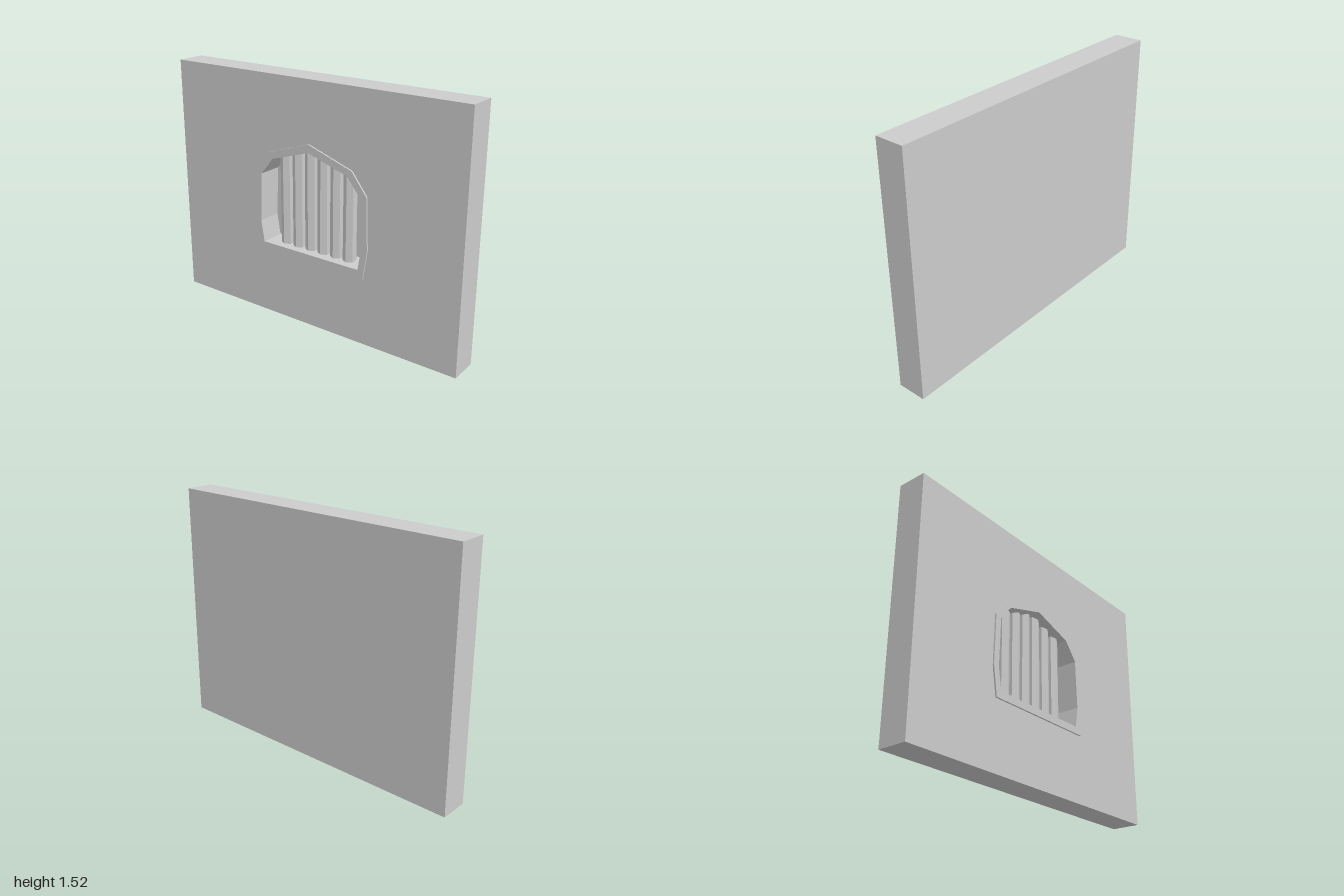
import * as THREE from 'three';

const HEIGHT = 1.52, BACK = -0.095, POCKET = -0.07, FACE = 0.085, FRONT = 0.095;

// Right half of each window outline, from the peak down to the sill
const OUTER = [[0, 1.15], [0.3, 1.05], [0.4, 0.92], [0.412, 0.6], [0.385, 0.42]];
const INNER = [[0, 1.1], [0.27, 1.015], [0.36, 0.905], [0.372, 0.6], [0.35, 0.465]];

const mirrored = (half) => [
  ...half,
  ...half.slice(1).reverse().map(([x, y]) => [-x, y]),
].map(([x, y]) => new THREE.Vector2(x, y));

export function createModel() {
  const group = new THREE.Group();
  const material = new THREE.MeshStandardMaterial({ color: 0xcccccc, flatShading: true });

  const add = (name, geometry, x = 0, y = 0, z = 0) => {
    const mesh = new THREE.Mesh(geometry, material);
    mesh.name = name;
    mesh.position.set(x, y, z);
    group.add(mesh);
  };

  // Slab with the window opening cut out, between two depths
  const addPierced = (name, outline, z0, z1) => {
    const shape = new THREE.Shape(outline);
    shape.holes.push(new THREE.Path(mirrored(INNER)));
    add(name, new THREE.ExtrudeGeometry(shape, { depth: z1 - z0, bevelEnabled: false }), 0, 0, z0);
  };

  // Wall with a blind recess closed by a thin back panel
  const wall = [[-1, 0], [1, 0], [1, HEIGHT], [-1, HEIGHT]].map(([x, y]) => new THREE.Vector2(x, y));
  addPierced('wall', wall, POCKET, FACE);
  add('backPanel', new THREE.BoxGeometry(2, HEIGHT, POCKET - BACK), 0, HEIGHT / 2, (POCKET + BACK) / 2);

  // Raised window surround
  addPierced('windowFrame', mirrored(OUTER), FACE, FRONT);

  // Hexagonal bars, a corner facing forward, ends sunk into the wall
  for (let i = 0; i < 6; i++) {
    const x = (i - 2.5) * 0.092;
    const bottom = 0.45, top = 1.12 - Math.abs(x) * 0.315;
    add('bar' + (i + 1), new THREE.CylinderGeometry(0.04, 0.04, top - bottom, 6), x, (top + bottom) / 2, 0);
  }
  return group;
}
